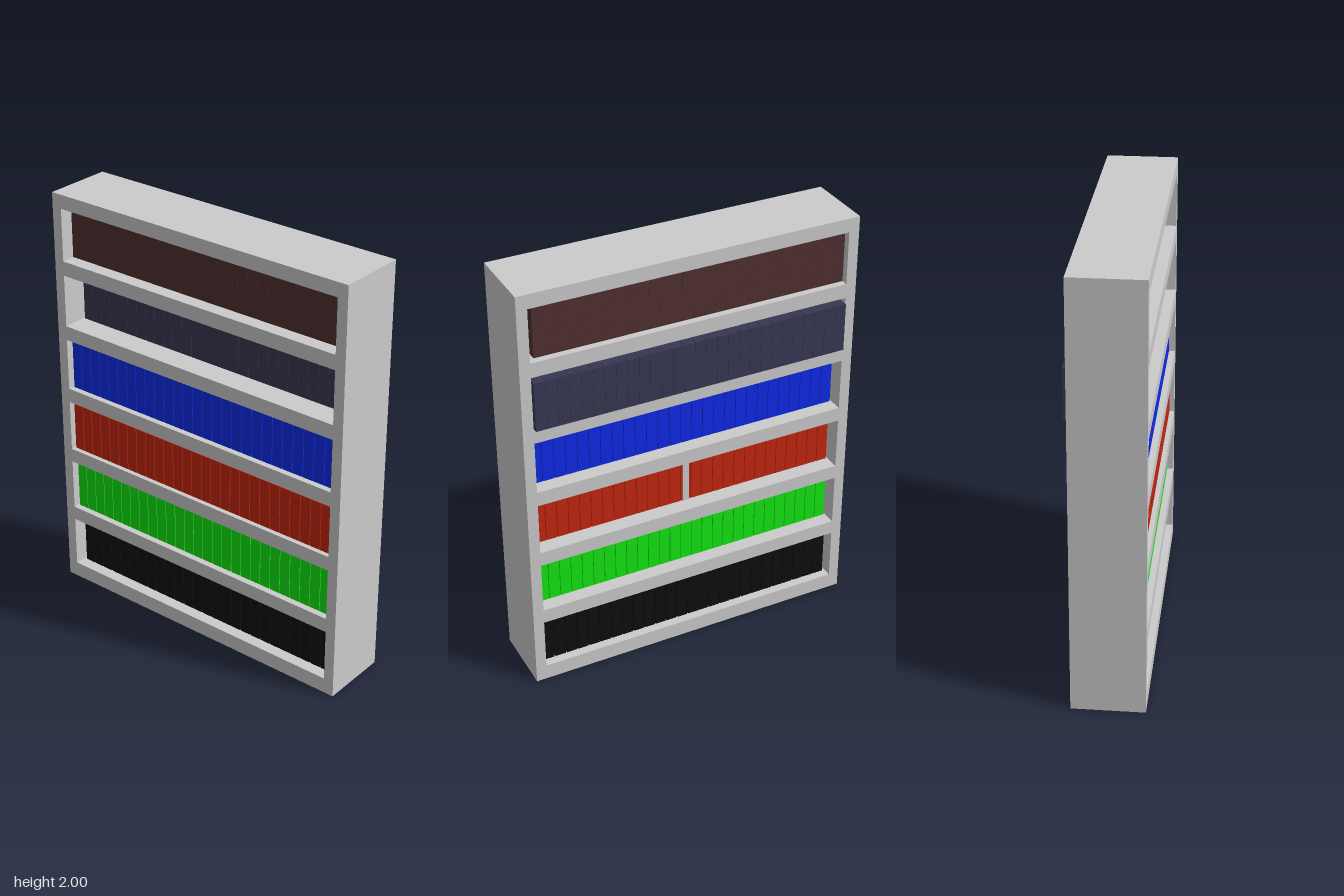
import * as THREE from 'three';

const HALF_W = 0.8, HEIGHT = 2, WALL = 0.05;
const FIRST_SHELF = 0.075, PITCH = 0.3213, OPENING = 0.252;
const BACK_Z = -0.155, FRONT_Z = 0.175;
const BOOK_H = 0.233, BOOK_D = 0.233;

// Rows from bottom to top: x range, number of volumes, z of the spines
const ROWS = [
  { name: 'blackBooks', color: 0x0d0d0d, from: -0.735, to: 0.743, count: 26, front: 0.12, width: 0.052 },
  { name: 'greenBooks', color: 0x12e612, from: -0.742, to: 0.745, count: 27, front: 0.145, width: 0.052 },
  { name: 'redBooks', color: 0xc42510, from: -0.742, to: 0.743, count: 27, front: 0.153, width: 0.052 },
  { name: 'blueBooks', color: 0x0e29e6, from: -0.742, to: 0.748, count: 27, front: 0.147, width: 0.052 },
  { name: 'indigoBooks', color: 0x373753, from: -0.742, to: 0.748, count: 28, front: 0.058, width: 0.052 },
  { name: 'brownBooks', color: 0x503030, from: -0.75, to: 0.722, count: 28, front: 0.11, width: 0.0523 },
];

function rectangle(Type, x0, y0, x1, y1) {
  const r = new Type();
  r.moveTo(x0, y0);
  r.lineTo(x1, y0);
  r.lineTo(x1, y1);
  r.lineTo(x0, y1);
  r.closePath();
  return r;
}

// Open-backed case: one slab with six compartments cut through
function makeCase() {
  const outline = rectangle(THREE.Shape, -HALF_W, 0, HALF_W, HEIGHT);
  const inner = HALF_W - WALL;
  for (let i = 0; i < ROWS.length; i++) {
    const y = FIRST_SHELF + i * PITCH;
    outline.holes.push(rectangle(THREE.Path, -inner, y, inner, y + OPENING));
  }
  const geometry = new THREE.ExtrudeGeometry(outline, { depth: FRONT_Z - BACK_Z, bevelEnabled: false });
  geometry.translate(0, 0, BACK_Z);
  const mesh = new THREE.Mesh(geometry, new THREE.MeshStandardMaterial({ color: 0xcccccc }));
  mesh.name = 'bookcase';
  return mesh;
}

// A row of equal volumes standing on one shelf
function makeRow(row, index) {
  const group = new THREE.Group();
  group.name = row.name;
  const geometry = new THREE.BoxGeometry(row.width, BOOK_H, BOOK_D);
  const material = new THREE.MeshStandardMaterial({ color: row.color });
  const step = (row.to - row.from - row.width) / (row.count - 1);
  for (let i = 0; i < row.count; i++) {
    const book = new THREE.Mesh(geometry, material);
    book.name = 'book';
    book.position.set(
      row.from + row.width / 2 + i * step,
      FIRST_SHELF + index * PITCH + BOOK_H / 2 + 0.0005,
      row.front - BOOK_D / 2
    );
    group.add(book);
  }
  return group;
}

export function createModel() {
  const model = new THREE.Group();
  model.name = 'filledBookcase';
  model.add(makeCase());
  ROWS.forEach((row, i) => model.add(makeRow(row, i)));

  // Pale strip at the rear of the red row
  const strip = new THREE.Mesh(
    new THREE.BoxGeometry(0.03, BOOK_H, 0.02),
    new THREE.MeshStandardMaterial({ color: 0xcccccc })
  );
  strip.name = 'rearStrip';
  strip.position.set(0, FIRST_SHELF + 2 * PITCH + BOOK_H / 2, -0.073);
  model.add(strip);
  return model;
}
